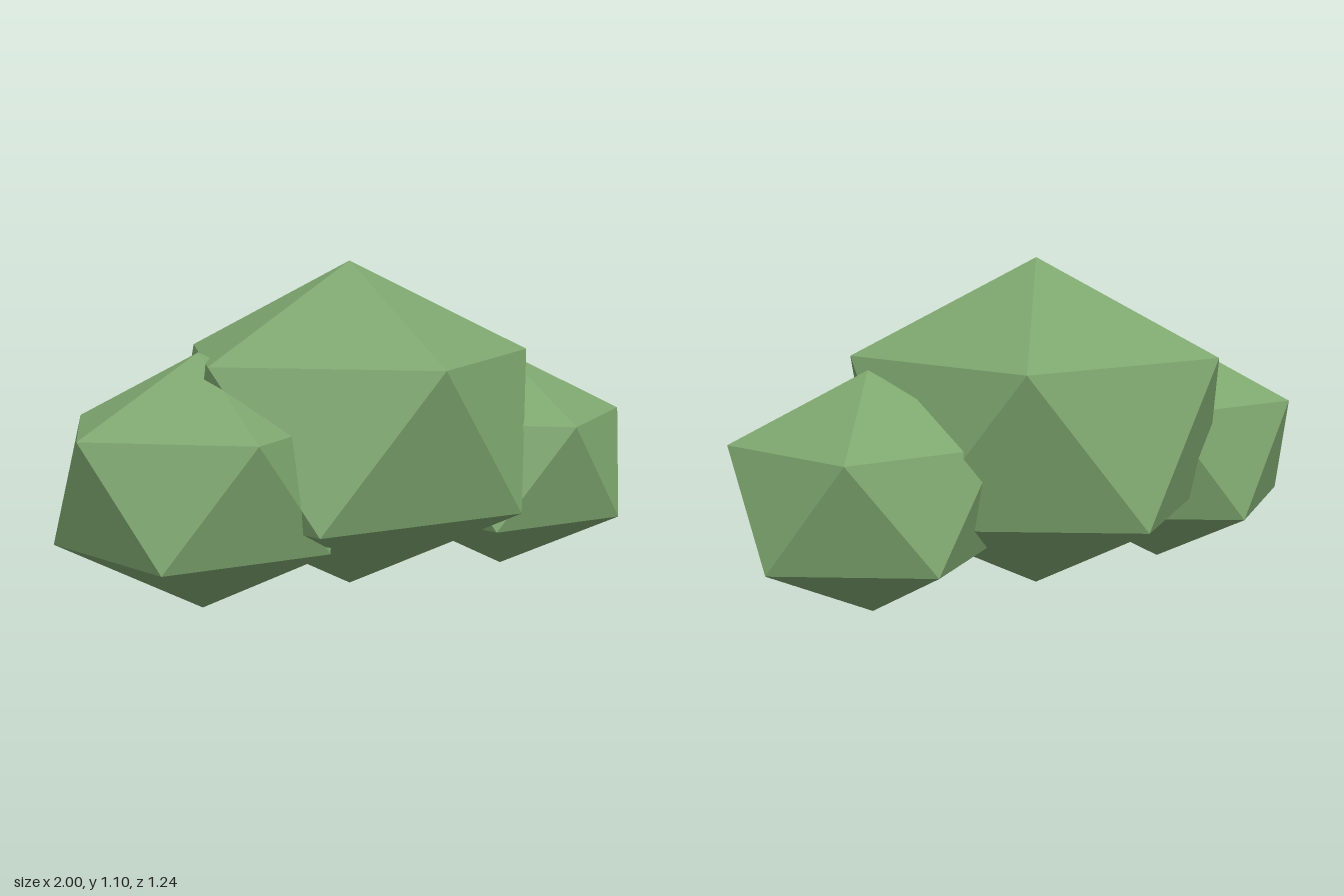
import * as THREE from 'three';

export function createModel() {
  const group = new THREE.Group();
  group.name = 'shrub';
  const leafGreen = new THREE.MeshStandardMaterial({ color: 0x7da66e, flatShading: true });
  leafGreen.name = 'leaf green';

  // Icosahedron turned so that one corner points straight up, flattened to 80%
  const clumpGeometry = new THREE.IcosahedronGeometry(1, 0);
  clumpGeometry.rotateZ(-Math.atan(2 / (1 + Math.sqrt(5))));
  clumpGeometry.scale(1, 0.8, 1);
  clumpGeometry.computeVertexNormals();

  // Each clump stands on its lowest corner
  const addClump = (name, radius, x, z) => {
    const clump = new THREE.Mesh(clumpGeometry, leafGreen);
    clump.name = name;
    clump.scale.setScalar(radius);
    clump.position.set(x, radius * 0.8, z);
    group.add(clump);
  };

  addClump('middleClump', 0.69, -0.02, -0.033);
  addClump('rightClump', 0.518, -0.538, 0.175);
  addClump('leftClump', 0.484, 0.567, -0.205);

  return group;
}
